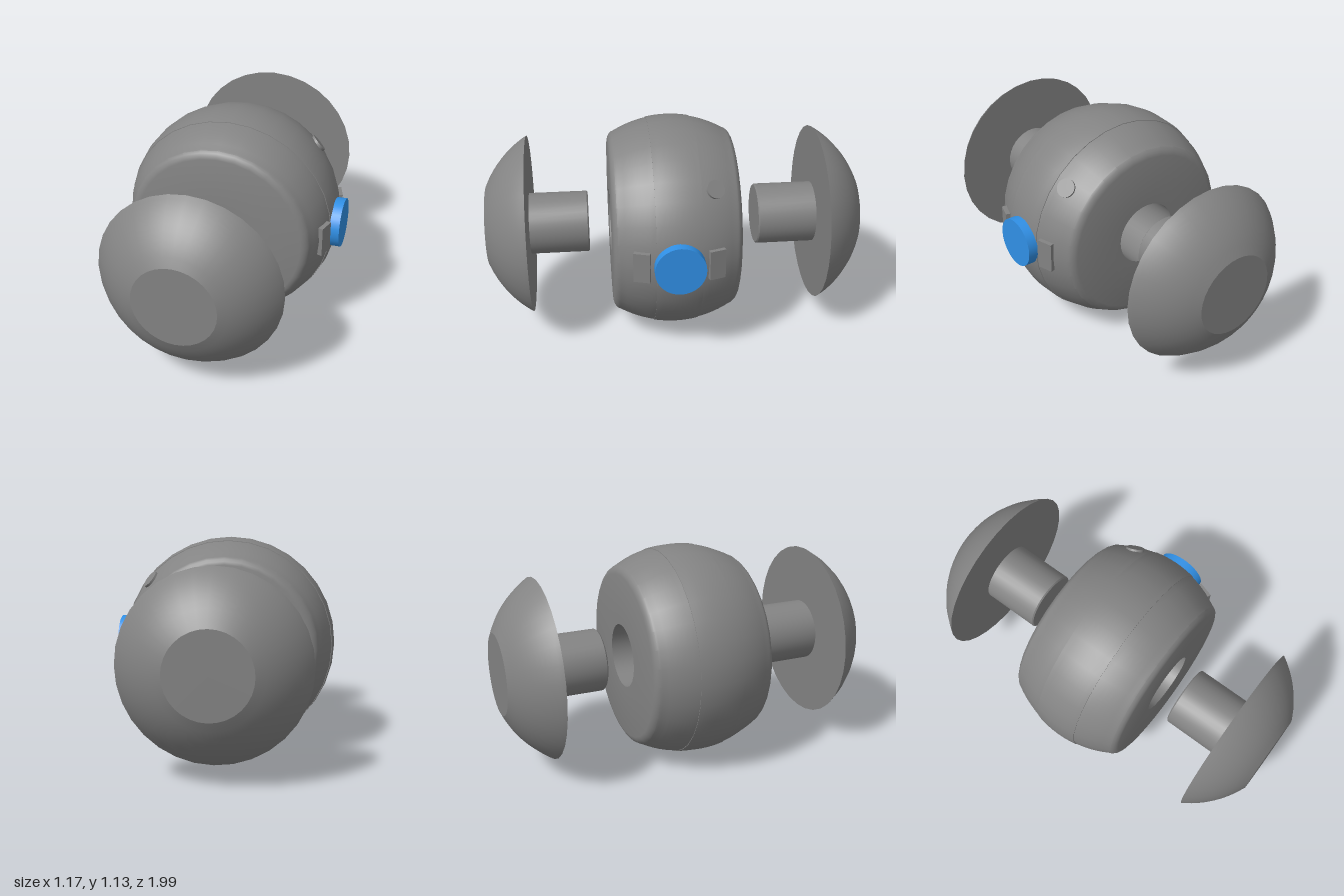
import * as THREE from 'three';
import { toCreasedNormals } from 'three/addons/utils/BufferGeometryUtils.js';

const CX = -0.018, CY = 0.567; // main axis, running along z
const grey = new THREE.MeshStandardMaterial({ color: 0x838383 });
const blue = new THREE.MeshStandardMaterial({ color: 0x3090e6 });

// Lathe around the main axis; profile points are [radius, height]
function turned(name, profile) {
  const points = profile.map(([r, h]) => new THREE.Vector2(r, h));
  const geometry = toCreasedNormals(new THREE.LatheGeometry(points, 32), 0.36);
  geometry.rotateX(Math.PI / 2);
  const mesh = new THREE.Mesh(geometry, grey);
  mesh.name = name;
  return mesh;
}

// Points on a circular arc between two heights, shifted outward by an offset
function arc(radius, offset, from, to, steps) {
  return Array.from({ length: steps + 1 }, (_, i) => {
    const h = from + (to - from) * i / steps;
    return [Math.sqrt(radius * radius - h * h) + offset, h];
  });
}

// Disc whose flat face points along a direction
function disc(name, radius, depth, position, direction, material) {
  const mesh = new THREE.Mesh(new THREE.CylinderGeometry(radius, radius, depth, 32), material);
  mesh.quaternion.setFromUnitVectors(new THREE.Vector3(0, 1, 0), direction.clone().normalize());
  mesh.position.copy(position);
  mesh.name = name;
  return mesh;
}

export function createModel() {
  const group = new THREE.Group();
  const assembly = new THREE.Group();
  assembly.name = 'containerAssembly';
  assembly.position.set(CX, CY, 0);
  group.add(assembly);

  // Barrel with rounded rims, a slightly raised middle band and a bore right through
  const rim = [[0.481, 0.306], [0.471, 0.317], [0.458, 0.325], [0.442, 0.3295], [0.17, 0.33]];
  const mirroredRim = rim.map(([r, h]) => [r, -h]).reverse();
  const body = turned('body', [
    ...mirroredRim,
    ...arc(0.6, -0.037, -0.295, -0.118, 6),
    ...arc(0.6, -0.034, -0.118, 0.118, 8),
    ...arc(0.6, -0.037, 0.118, 0.295, 6),
    ...rim,
    mirroredRim[0],
  ]);
  body.position.z = 0.01;
  assembly.add(body);

  // Domed end caps with plugs that point at the bore
  for (const [side, name] of [[1, 'frontCap'], [-1, 'backCap']]) {
    const dome = arc(0.555, 0, 0.286, 0.512, 10).map(([r, h]) => [r, h + 0.484]);
    const cap = turned(name, [
      [0, 0.455], [0.158, 0.455], [0.165, 0.462], [0.165, 0.77],
      ...dome, [0, 0.996],
    ]);
    if (side < 0) cap.rotation.y = Math.PI;
    assembly.add(cap);
  }

  // Round button on the left side
  const left = new THREE.Vector3(1, 0, 0);
  assembly.add(disc('button', 0.13, 0.06, new THREE.Vector3(0.57, 0, 0.013), left, blue));

  // Tabs on either side of the button, tilted to follow the body
  for (const side of [1, -1]) {
    const tab = new THREE.Mesh(new THREE.BoxGeometry(0.03, 0.16, 0.085), grey);
    tab.name = side > 0 ? 'frontTab' : 'backTab';
    tab.position.set(0.533, 0, 0.013 + side * 0.188);
    tab.rotation.y = -side * 0.3;
    assembly.add(tab);
  }

  // Small round stud on the upper left
  const out = new THREE.Vector3(0.408, 0.353, -0.19).normalize();
  const studAt = out.clone().multiplyScalar(0.564);
  studAt.z += 0.01;
  assembly.add(disc('stud', 0.048, 0.02, studAt, out, grey));

  return group;
}
